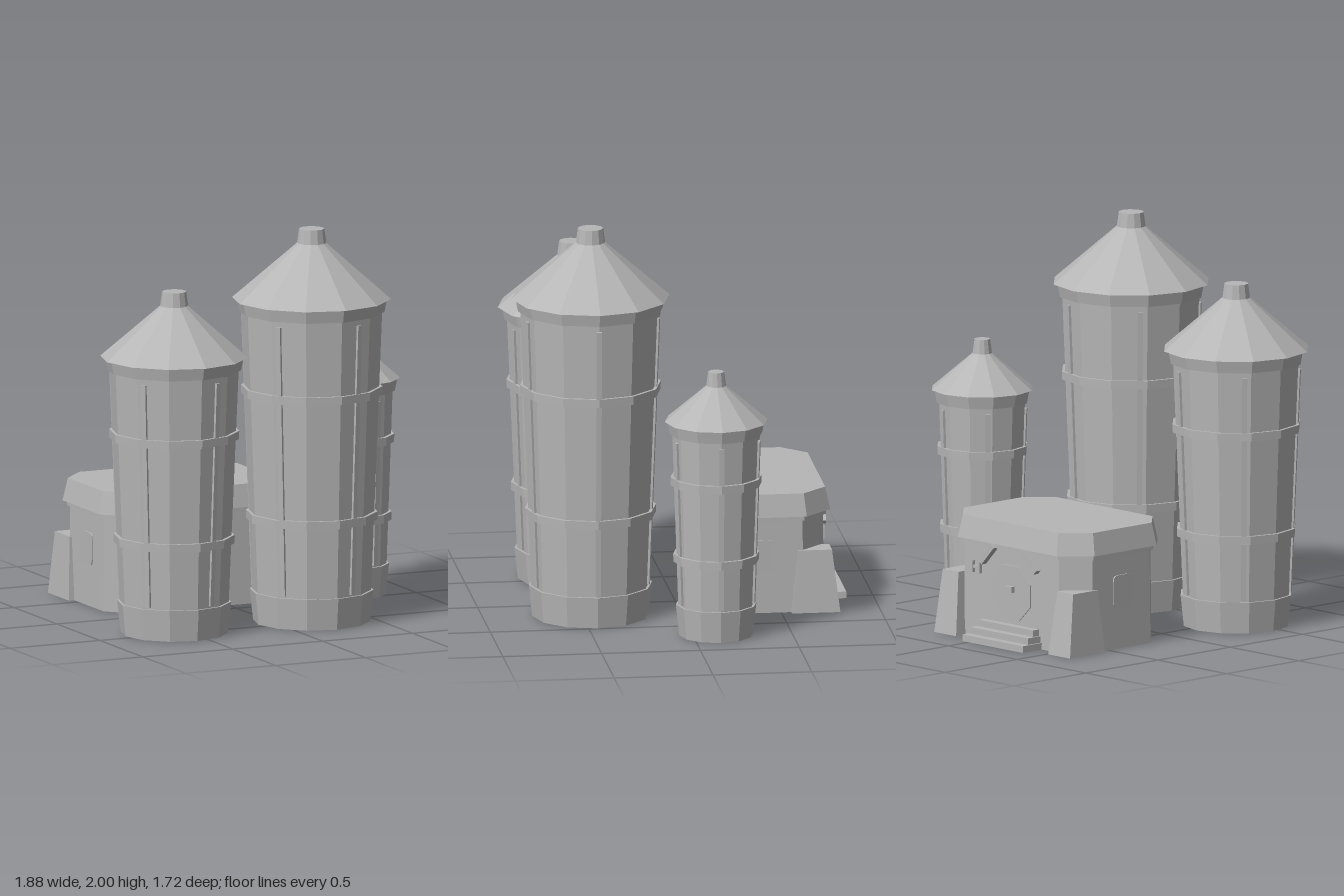
import * as THREE from 'three';

const grey = new THREE.MeshStandardMaterial({ color: 0xb6b6b6, flatShading: true, side: THREE.DoubleSide });
grey.name = 'plain grey';

function add(parent, name, geometry, x = 0, y = 0, z = 0) {
  const mesh = new THREE.Mesh(geometry, grey);
  mesh.name = name;
  mesh.position.set(x, y, z);
  parent.add(mesh);
  return mesh;
}

// Twelve-sided frustum between two heights
function ring(parent, name, y0, y1, r0, r1, open = false) {
  return add(parent, name, new THREE.CylinderGeometry(r1, r0, y1 - y0, 12, 1, open), 0, (y0 + y1) / 2, 0);
}

// Joins horizontal outlines, each { y, pts: [[x, z], ...] }, into a solid
function loft(loops, capBottom = true, capTop = true) {
  const pos = [];
  const n = loops[0].pts.length;
  const put = (l, i) => pos.push(l.pts[i % n][0], l.y, l.pts[i % n][1]);
  for (let k = 0; k + 1 < loops.length; k++) {
    const a = loops[k], b = loops[k + 1];
    for (let i = 0; i < n; i++) {
      put(a, i); put(a, i + 1); put(b, i + 1);
      put(a, i); put(b, i + 1); put(b, i);
    }
  }
  const first = loops[0], last = loops[loops.length - 1];
  for (let i = 1; i + 1 < n; i++) {
    if (capBottom) { put(first, 0); put(first, i + 1); put(first, i); }
    if (capTop) { put(last, 0); put(last, i); put(last, i + 1); }
  }
  const g = new THREE.BufferGeometry();
  g.setAttribute('position', new THREE.Float32BufferAttribute(pos, 3));
  g.computeVertexNormals();
  return g;
}

// Chamfered rectangle in plan, counter-clockwise from above
function octagon(y, inset) {
  const x0 = -0.67 + inset, x1 = 0.32 - inset, z0 = -0.76 + inset, z1 = -0.06 - inset;
  const c = 0.135 - inset * 0.5;
  return { y, pts: [[x0 + c, z1], [x1 - c, z1], [x1, z1 - c], [x1, z0 + c],
    [x1 - c, z0], [x0 + c, z0], [x0, z0 + c], [x0, z1 - c]] };
}

function rectangle(y, x0, x1, z0, z1) {
  return { y, pts: [[x0, z1], [x1, z1], [x1, z0], [x0, z0]] };
}

// Tapered silo with hoops, five ribs, a conical roof and a vent cap
function silo(name, x, z, s) {
  const g = new THREE.Group();
  g.name = name;
  g.position.set(x, 0, z);
  const wallTop = s.eave - 0.065;
  const radiusAt = y => s.foot + (s.top - s.foot) * (y - 0.16) / (wallTop - 0.16);
  ring(g, 'baseSkirt', 0, 0.16, s.foot - 0.005, s.foot + 0.012, true);
  ring(g, 'wall', 0.16, wallTop, s.foot, s.top);
  // narrow ledge closing the top of the skirt
  const ledge = new THREE.RingGeometry(s.foot - 0.01, s.foot + 0.012, 12).rotateX(-Math.PI / 2);
  add(g, 'skirtLedge', ledge, 0, 0.16, 0);
  for (const y of s.hoops) {
    ring(g, 'hoop', y - 0.021, y + 0.021, radiusAt(y) + 0.016, radiusAt(y) + 0.017);
  }
  ring(g, 'eaveBand', wallTop, s.eave, s.top + 0.012, s.top + 0.024);
  ring(g, 'roofCone', s.eave, s.peak - 0.07, s.roof, s.cap);
  ring(g, 'ventCap', s.peak - 0.072, s.peak, s.cap + 0.004, s.cap - 0.006);

  const y0 = 0.17, y1 = wallTop - 0.03;
  for (let i = 0; i < 5; i++) {
    const deg = 18 + i * 72;
    const flat = Math.cos(Math.PI / 12) / Math.cos(((deg % 30) - 15) * Math.PI / 180);
    const r0 = radiusAt(y0) * flat, r1 = radiusAt(y1) * flat;
    const rib = add(g, 'rib', loft([
      rectangle(y0, -0.013, 0.013, r0 - 0.012, r0 + 0.012),
      rectangle(y1, -0.013, 0.013, r1 - 0.012, r1 + 0.012),
    ]));
    rib.rotation.y = deg * Math.PI / 180;
  }
  return g;
}

// Rounded plate outline
function roundedPlate(w, h, r, depth) {
  const s = new THREE.Shape();
  const x = w / 2, y = h / 2;
  s.moveTo(-x + r, -y);
  s.lineTo(x - r, -y).quadraticCurveTo(x, -y, x, -y + r);
  s.lineTo(x, y - r).quadraticCurveTo(x, y, x - r, y);
  s.lineTo(-x + r, y).quadraticCurveTo(-x, y, -x, y - r);
  s.lineTo(-x, -y + r).quadraticCurveTo(-x, -y, -x + r, -y);
  return new THREE.ExtrudeGeometry(s, { depth, bevelEnabled: false, curveSegments: 3 });
}

function bunker() {
  const g = new THREE.Group();
  g.name = 'bunker';
  const cx = -0.175;
  add(g, 'walls', loft([octagon(0, 0.03), octagon(0.48, 0.034)], false, true));
  add(g, 'floor', loft([octagon(0.16, 0.035), octagon(0.17, 0.035)]));
  add(g, 'trim', loft([octagon(0.475, 0.02), octagon(0.5, 0.02)]));
  add(g, 'roof', loft([octagon(0.5, 0), octagon(0.615, 0.024)]));

  for (const side of [-1, 1]) {
    // tapered corner buttresses, open underneath
    const span = (a, b) => side > 0 ? [cx + a, cx + b] : [cx - b, cx - a];
    add(g, 'buttress', loft([
      rectangle(0, ...span(0.335, 0.495), -0.795, -0.55),
      rectangle(0.32, ...span(0.36, 0.475), -0.755, -0.585),
    ], false, true));
    // side windows
    const win = add(g, 'sideWindow', roundedPlate(0.13, 0.165, 0.03, 0.008),
      cx + side * 0.461, 0.293, -0.403);
    win.rotation.y = side * Math.PI / 2;
    // slanted bars over the doorway
    const bar = add(g, 'doorBar', new THREE.BoxGeometry(0.03, 0.13, 0.035), cx + side * 0.155, 0.44, -0.742);
    bar.rotation.z = side * 0.75;
  }

  // doorway panel with a small handle
  const door = add(g, 'door', new THREE.CylinderGeometry(0.15, 0.15, 0.008, 8), cx, 0.26, -0.73);
  door.rotation.set(Math.PI / 2, Math.PI / 8, 0);
  add(g, 'doorHandle', new THREE.BoxGeometry(0.05, 0.03, 0.025), cx, 0.28, -0.74);

  // wall pipes joined by a short crossbar
  for (const dx of [-0.025, 0.025]) {
    add(g, 'wallPipe', new THREE.BoxGeometry(0.014, 0.06, 0.02), cx + 0.25 + dx, 0.36, -0.735);
  }
  add(g, 'pipeJoint', new THREE.BoxGeometry(0.05, 0.014, 0.016), cx + 0.25, 0.36, -0.735);

  // entrance steps
  for (let i = 0; i < 3; i++) {
    const front = -0.86 + i * 0.045;
    add(g, 'step', new THREE.BoxGeometry(0.44 - i * 0.02, 0.034, -0.7 - front),
      cx, 0.017 + i * 0.033, (front - 0.7) / 2);
  }
  return g;
}

export function createModel() {
  const model = new THREE.Group();
  model.name = 'siloYard';
  model.add(
    silo('tallSilo', 0.2, 0.455, { foot: 0.3, top: 0.355, roof: 0.4, eave: 1.645, peak: 2, cap: 0.07, hoops: [0.54, 1.178] }),
    silo('middleSilo', -0.565, 0.455, { foot: 0.275, top: 0.325, roof: 0.372, eave: 1.407, peak: 1.74, cap: 0.067, hoops: [0.48, 1.012] }),
    silo('smallSilo', 0.68, -0.12, { foot: 0.192, top: 0.222, roof: 0.26, eave: 1.107, peak: 1.36, cap: 0.046, hoops: [0.403, 0.8] }),
    bunker(),
  );
  return model;
}
